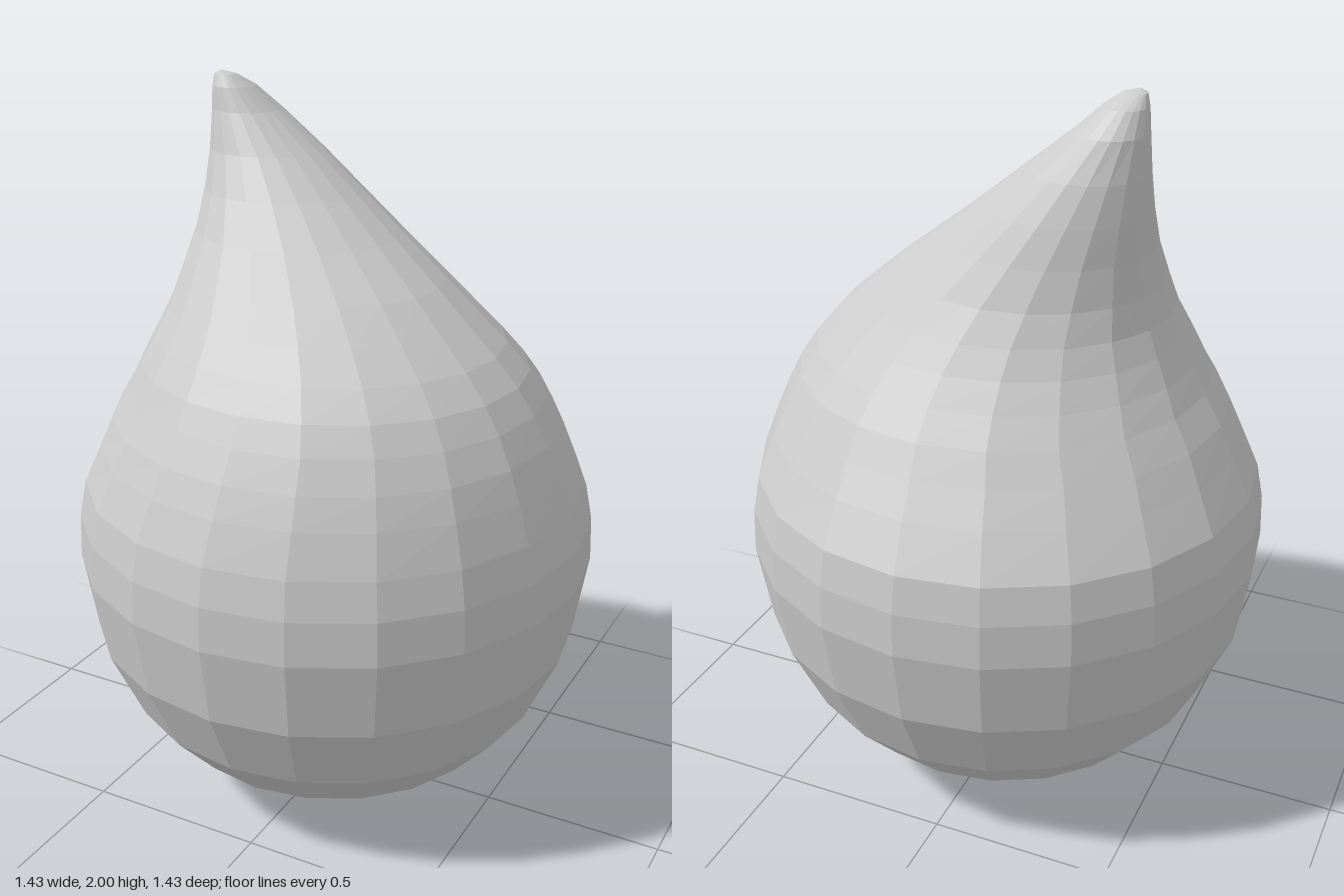
import * as THREE from 'three';

const SIDES = 20;

// Horizontal sections: height, centre x, centre z, radius in x, radius in z
const sections = [
  [0.026, 0, 0, 0.175, 0.175],
  [0.07, 0, 0, 0.31, 0.31],
  [0.165, 0, 0, 0.47, 0.47],
  [0.30, 0, 0, 0.59, 0.59],
  [0.50, 0, 0, 0.68, 0.68],
  [0.72, 0, 0, 0.715, 0.715],
  [0.84, 0, 0, 0.71, 0.71],
  [0.94, 0, 0, 0.69, 0.69],
  [1.05, 0.01, 0.015, 0.645, 0.635],
  [1.13, 0.015, 0.025, 0.61, 0.59],
  [1.21, 0.02, 0.03, 0.565, 0.543],
  [1.28, 0.015, 0.037, 0.525, 0.495],
  [1.35, 0, 0.035, 0.476, 0.44],
  [1.42, -0.025, 0.025, 0.42, 0.385],
  [1.5, -0.062, 0.01, 0.363, 0.324],
  [1.6, -0.118, -0.018, 0.289, 0.254],
  [1.7, -0.178, -0.042, 0.222, 0.193],
  [1.8, -0.236, -0.055, 0.159, 0.14],
  [1.9, -0.294, -0.053, 0.094, 0.094],
  [1.96, -0.322, -0.035, 0.057, 0.06],
  [1.99, -0.338, -0.018, 0.031, 0.025],
];

// Closed skin through the sections, with a fan at the base and at the tip
function loft(rows, base, tip) {
  const points = [...base];
  for (const [y, cx, cz, rx, rz] of rows) {
    for (let i = 0; i < SIDES; i++) {
      const a = (i / SIDES) * Math.PI * 2;
      points.push(cx + rx * Math.sin(a), y, cz + rz * Math.cos(a));
    }
  }
  points.push(...tip);
  const at = (row, i) => 1 + row * SIDES + (i % SIDES);
  const last = rows.length - 1;
  const tipIndex = 1 + rows.length * SIDES;
  const faces = [];
  for (let i = 0; i < SIDES; i++) {
    faces.push(0, at(0, i + 1), at(0, i));
    for (let r = 0; r < last; r++) {
      faces.push(at(r, i), at(r, i + 1), at(r + 1, i + 1));
      faces.push(at(r, i), at(r + 1, i + 1), at(r + 1, i));
    }
    faces.push(at(last, i), at(last, i + 1), tipIndex);
  }
  const geometry = new THREE.BufferGeometry();
  geometry.setAttribute('position', new THREE.Float32BufferAttribute(points, 3));
  geometry.setIndex(faces);
  geometry.computeVertexNormals();
  return geometry;
}

export function createModel() {
  const group = new THREE.Group();
  group.name = 'droplet';
  // Round body drawn up into a leaning tip
  const material = new THREE.MeshStandardMaterial({ color: 0xcccccc, flatShading: true });
  const body = new THREE.Mesh(loft(sections, [0, 0, 0], [-0.348, 2, -0.01]), material);
  body.name = 'dropletBody';
  group.add(body);
  return group;
}
